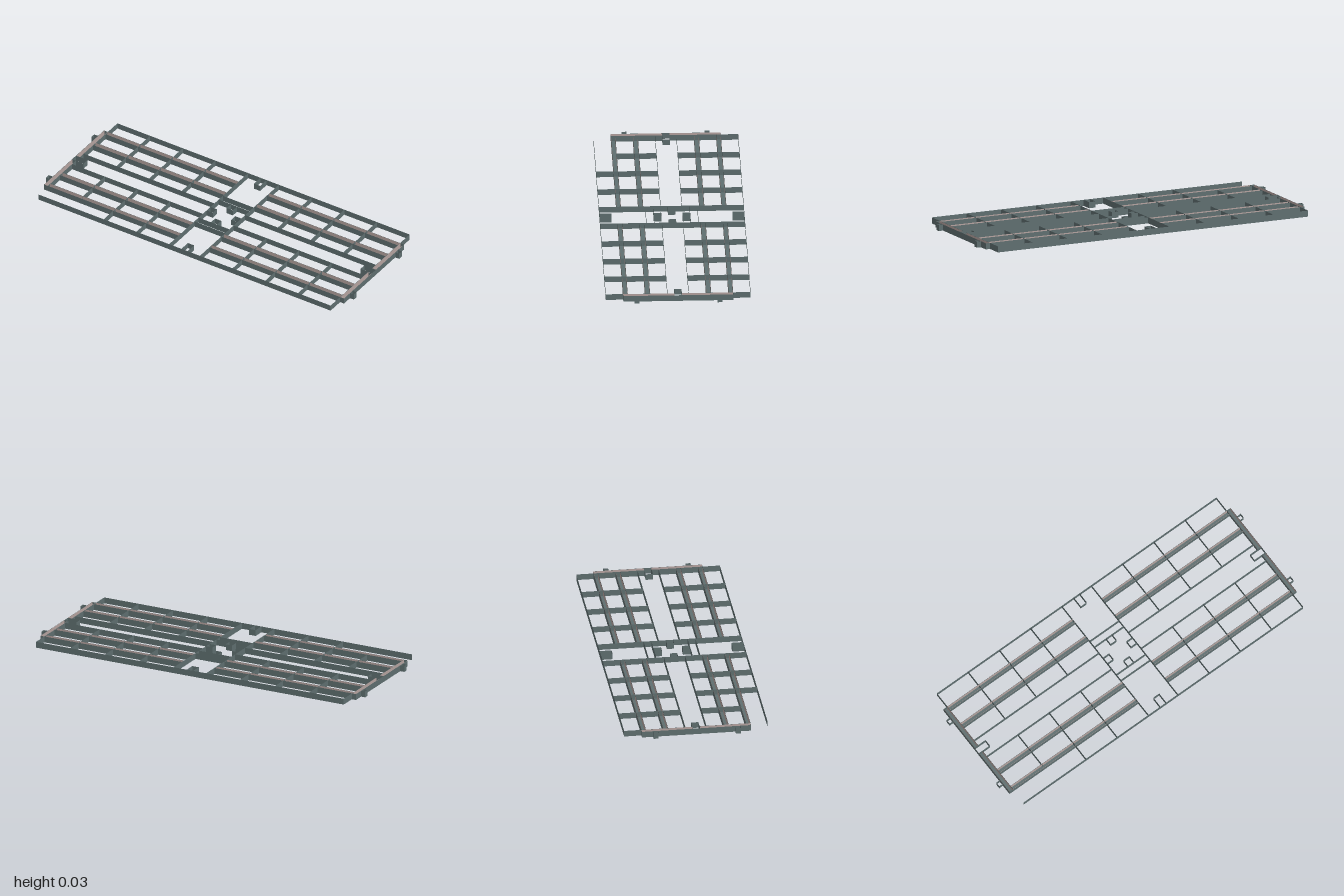
import * as THREE from 'three';

const H = 0.034; // overall height of the grid

export function createModel() {
  const model = new THREE.Group();
  model.name = 'supportGrid';
  const steel = new THREE.MeshStandardMaterial({ color: 0x5f6f70, side: THREE.DoubleSide });
  steel.name = 'slate grey';
  const lining = new THREE.MeshStandardMaterial({ color: 0xb5a3a0, side: THREE.DoubleSide });
  lining.name = 'pale rose grey';

  // upright sheet following a path of [x, z] points
  function fence(name, points, material = steel) {
    const group = new THREE.Group();
    group.name = name;
    for (let i = 0; i + 1 < points.length; i++) {
      const [ax, az] = points[i], [bx, bz] = points[i + 1];
      const sheet = new THREE.Mesh(new THREE.PlaneGeometry(Math.hypot(bx - ax, bz - az), H), material);
      sheet.name = name + 'Sheet';
      sheet.position.set((ax + bx) / 2, H / 2, (az + bz) / 2);
      sheet.rotation.y = -Math.atan2(bz - az, bx - ax);
      group.add(sheet);
    }
    model.add(group);
  }

  // open-topped channel between two plan corners, lined on its long inner sides
  function channel(name, x0, x1, z0, z1) {
    const floor = new THREE.Mesh(new THREE.BoxGeometry(Math.abs(x1 - x0), 0.003, Math.abs(z1 - z0)), steel);
    floor.name = name + 'Floor';
    floor.position.set((x0 + x1) / 2, 0.0015, (z0 + z1) / 2);
    model.add(floor);
    fence(name + 'Wall', [[x0, z0], [x1, z0], [x1, z1], [x0, z1], [x0, z0]]);
    const alongX = Math.abs(x1 - x0) > Math.abs(z1 - z0);
    for (const t of [0.06, 0.94]) {
      const x = x0 + (x1 - x0) * t, z = z0 + (z1 - z0) * t;
      fence(name + 'Lining', alongX ? [[x0, z], [x1, z]] : [[x, z0], [x, z1]], lining);
    }
  }

  for (const sz of [-1, 1]) {
    // long outer wall, inner divider and clips on the centre line
    fence('outerWall', [[-0.95, sz * 0.395], [0.95, sz * 0.395]]);
    fence('centreDivider', [[-0.1, sz * 0.142], [0.1, sz * 0.142]]);
    fence('outerClip', [[-0.02, sz * 0.395], [-0.02, sz * 0.33], [0.02, sz * 0.33], [0.02, sz * 0.395]]);
    fence('innerClip', [[-0.02, sz * 0.1], [-0.02, sz * 0.058], [0.02, sz * 0.058], [0.02, sz * 0.1]]);
    fence('centreRing', [[-0.1, sz * 0.1], [0.1, sz * 0.1]]);

    for (const sx of [-1, 1]) {
      const openCorner = sx < 0 && sz > 0;
      // thick E-shaped frame
      channel('frameEnd', sx * 0.975, sx * 0.95, sz * 0.3, sz * 0.02);
      channel('frameOuterBar', sx * 0.95, sx * 0.1, sz * 0.3, sz * 0.275);
      channel('frameMiddleBar', sx * 0.95, sx * 0.1, sz * 0.18, sz * 0.153);
      // thin ribs at even spacing
      fence('innerRib', [[sx * 0.95, sz * 0.058], [sx * 0.1, sz * 0.058]]);
      for (const x of [0.1, 0.3125, 0.525, 0.7375]) {
        const outer = openCorner && x > 0.7 ? 0.28 : 0.395;
        fence('crossRib', [[sx * x, sz * outer], [sx * x, sz * 0.058]]);
      }
      // end return and small locating lug
      if (!openCorner) fence('cornerReturn', [[sx * 0.95, sz * 0.395], [sx * 0.95, sz * 0.3]]);
      fence('endLug', [[sx * 0.975, sz * 0.24], [sx, sz * 0.24], [sx, sz * 0.213], [sx * 0.975, sz * 0.213]]);
    }
  }

  for (const sx of [-1, 1]) {
    // closed end clips, ring sides and their clips
    fence('endClip', [[sx * 0.975, -0.02], [sx * 0.9, -0.02], [sx * 0.9, 0.02], [sx * 0.975, 0.02], [sx * 0.975, -0.02]]);
    fence('ringSide', [[sx * 0.1, -0.1], [sx * 0.1, 0.1]]);
    fence('sideClip', [[sx * 0.1, -0.02], [sx * 0.06, -0.02], [sx * 0.06, 0.02], [sx * 0.1, 0.02]]);
  }
  return model;
}
